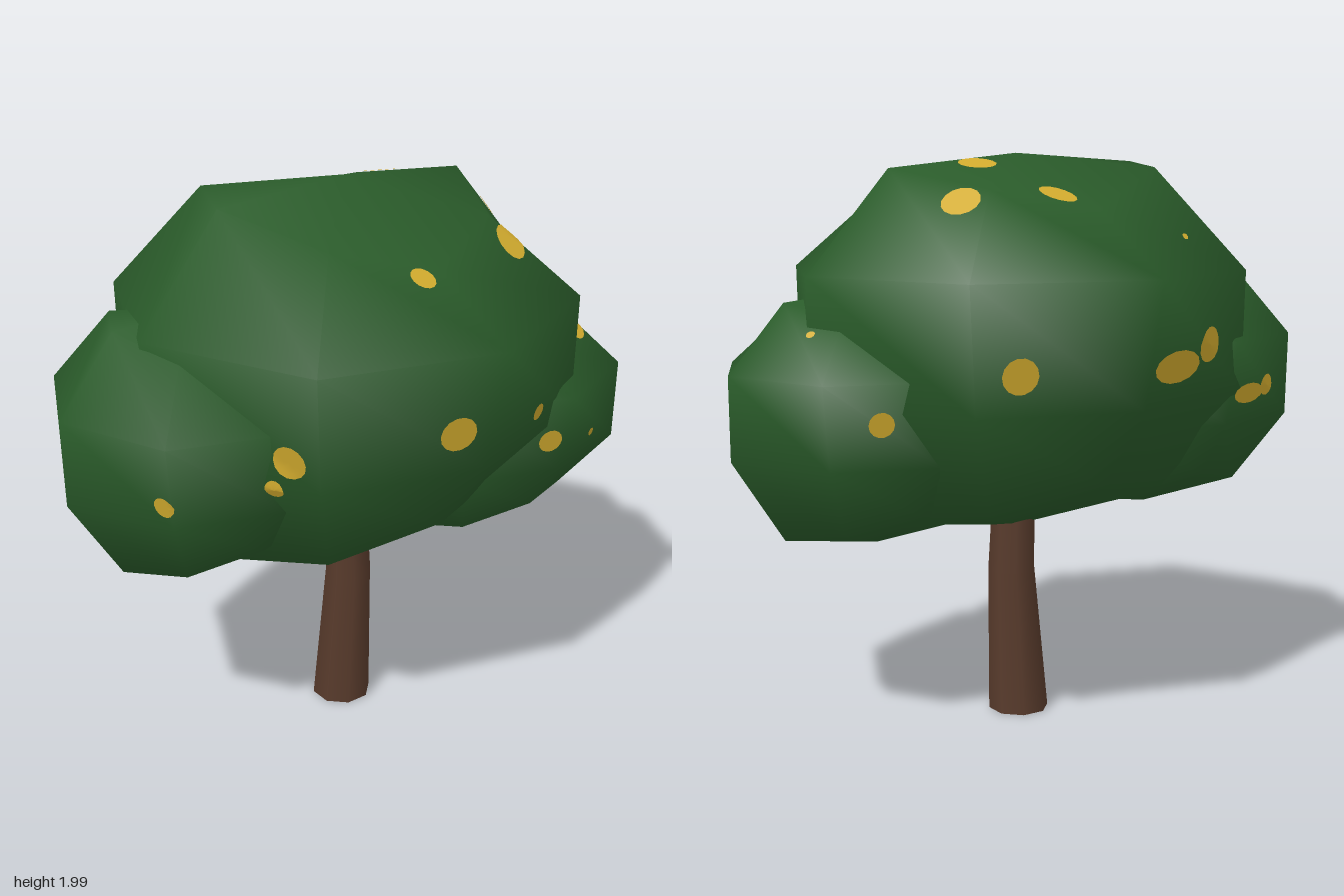
import * as THREE from 'three';

const leafGreen = new THREE.MeshStandardMaterial({ color: 0x2a5b2a });
leafGreen.name = 'leafGreen';
const barkBrown = new THREE.MeshStandardMaterial({ color: 0x573a2b });
barkBrown.name = 'barkBrown';
const fruitGold = new THREE.MeshStandardMaterial({ color: 0xd2ab2e });
fruitGold.name = 'fruitGold';

// Clump rings from top to bottom, as fractions of the half size.
// Lists run around the ring and repeat; the end rings are saddle-shaped.
const RINGS = [
  { height: [0.92, 0.81, 0.68, 0.82, 0.96, 0.925, 0.72, 0.82], radius: [0.63, 0.59, 0.58, 0.61] },
  { height: [0.4], radius: [1.012, 0.98, 0.972, 1.028] },
  { height: [-0.24], radius: [1.01, 0.97, 0.87, 0.92] },
  { height: [-0.89, -0.7, -0.66, -0.78, -0.9, -0.78, -0.66, -0.78], radius: [0.658, 0.622, 0.622, 0.658] },
];
const SIDES = 8;

// Eight-sided smooth foliage clump, closed by a pole at each end
function foliage(name, [cx, cy, cz], radius, halfHeight, phase) {
  const pos = [0, halfHeight, 0];
  const index = [];
  for (const ring of RINGS) {
    for (let k = 0; k < SIDES; k++) {
      const a = (k / SIDES) * Math.PI * 2 + phase;
      const r = radius * ring.radius[k % ring.radius.length];
      const y = halfHeight * ring.height[k % ring.height.length];
      pos.push(r * Math.cos(a), y, r * Math.sin(a));
    }
  }
  pos.push(0, -halfHeight, 0);
  const bottom = RINGS.length * SIDES + 1;
  const at = (ring, k) => 1 + ring * SIDES + (k % SIDES);
  for (let k = 0; k < SIDES; k++) {
    index.push(0, at(0, k + 1), at(0, k));
    for (let r = 0; r < RINGS.length - 1; r++) {
      index.push(at(r, k), at(r, k + 1), at(r + 1, k));
      index.push(at(r, k + 1), at(r + 1, k + 1), at(r + 1, k));
    }
    index.push(bottom, at(RINGS.length - 1, k), at(RINGS.length - 1, k + 1));
  }
  const geo = new THREE.BufferGeometry();
  geo.setAttribute('position', new THREE.Float32BufferAttribute(pos, 3));
  geo.setIndex(index);
  geo.computeVertexNormals();
  const mesh = new THREE.Mesh(geo, leafGreen);
  mesh.name = name;
  mesh.position.set(cx, cy, cz);
  mesh.updateMatrixWorld();
  return mesh;
}

// Round fruit patches that hug the clump's surface: [x, y, z, radius, stretch]
function addFruit(group, clump, spots) {
  const ray = new THREE.Raycaster();
  for (const [x, y, z, r, stretch = 1] of spots) {
    const out = new THREE.Vector3(x, y, z).sub(clump.position).normalize();
    ray.set(clump.position.clone().addScaledVector(out, 3), out.clone().negate());
    const hit = ray.intersectObject(clump)[0];
    const normal = hit.face.normal.clone();
    const frame = new THREE.Object3D();
    frame.position.copy(hit.point);
    frame.lookAt(hit.point.clone().add(normal));
    frame.updateMatrix();

    const geo = new THREE.RingGeometry(0.001, 1, 14, 3);
    geo.scale(r * stretch, r, 1);
    geo.applyMatrix4(frame.matrix);
    const p = geo.attributes.position;
    const v = new THREE.Vector3();
    for (let i = 0; i < p.count; i++) {
      v.fromBufferAttribute(p, i);
      ray.set(v.clone().addScaledVector(normal, 0.3), normal.clone().negate());
      const under = ray.intersectObject(clump)[0];
      if (under) v.copy(under.point);
      v.addScaledVector(normal, 0.005);
      p.setXYZ(i, v.x, v.y, v.z);
    }
    geo.computeVertexNormals();
    const fruit = new THREE.Mesh(geo, fruitGold);
    fruit.name = 'fruit';
    group.add(fruit);
  }
}

// Tapered trunk with a slight bend halfway up
function makeTrunk() {
  const geo = new THREE.CylinderGeometry(0.073, 0.108, 0.9, 8, 2);
  geo.translate(0, 0.45, 0);
  const p = geo.attributes.position;
  for (let i = 0; i < p.count; i++) {
    const y = p.getY(i);
    const mid = Math.abs(y - 0.45) < 0.01;
    p.setX(i, p.getX(i) * (mid ? 0.93 : 1) + (mid ? 0.016 : y < 0.1 ? -0.01 : 0.005));
    if (mid) p.setY(i, 0.52);
  }
  const trunk = new THREE.Mesh(geo, barkBrown);
  trunk.name = 'trunk';
  return trunk;
}

export function createModel() {
  const model = new THREE.Group();
  model.name = 'tree';
  const deg = Math.PI / 180;

  // Foliage clumps
  const crown = foliage('mainCrown', [0, 1.335, 0], 0.81, 0.655, -25 * deg);
  const rightClump = foliage('sideClumpRight', [-0.51, 1.175, 0.14], 0.525, 0.455, -22.5 * deg);
  const leftClump = foliage('sideClumpLeft', [0.505, 1.1, -0.085], 0.525, 0.44, -22.5 * deg);
  model.add(makeTrunk(), crown, rightClump, leftClump);

  // Fruit
  const fruits = new THREE.Group();
  fruits.name = 'fruits';
  addFruit(fruits, crown, [
    [0.2, 1.33, 0.72, 0.062], [-0.345, 1.28, 0.66, 0.058], [-0.39, 1.17, 0.62, 0.032],
    [0.12, 1.76, 0.47, 0.044], [0.49, 1.77, 0.21, 0.068, 0.75], [0.53, 1.28, 0.46, 0.03],
    [0.54, 1.79, -0.16, 0.04], [0.25, 1.81, -0.45, 0.065], [-0.07, 1.87, -0.39, 0.065],
    [0.16, 1.95, -0.16, 0.065], [0.12, 1.31, -0.72, 0.06], [-0.44, 1.31, -0.6, 0.055, 2.3],
    [-0.59, 1.37, -0.49, 0.06], [-0.47, 1.68, -0.29, 0.012],
  ]);
  addFruit(fruits, rightClump, [
    [-0.74, 1.14, 0.62, 0.036], [-0.99, 1.18, 0.13, 0.035],
    [-0.8, 1.17, -0.27, 0.036, 2.4], [-0.88, 1.19, -0.19, 0.038],
  ]);
  addFruit(fruits, leftClump, [
    [0.635, 1.12, 0.38, 0.043], [0.84, 1.42, 0.08, 0.044, 0.75], [0.86, 1.43, -0.17, 0.027],
    [0.845, 1.08, 0.26, 0.015], [0.98, 1.11, -0.03, 0.043], [0.73, 1.41, -0.38, 0.015],
    [0.53, 1.15, -0.58, 0.042],
  ]);
  model.add(fruits);
  return model;
}
